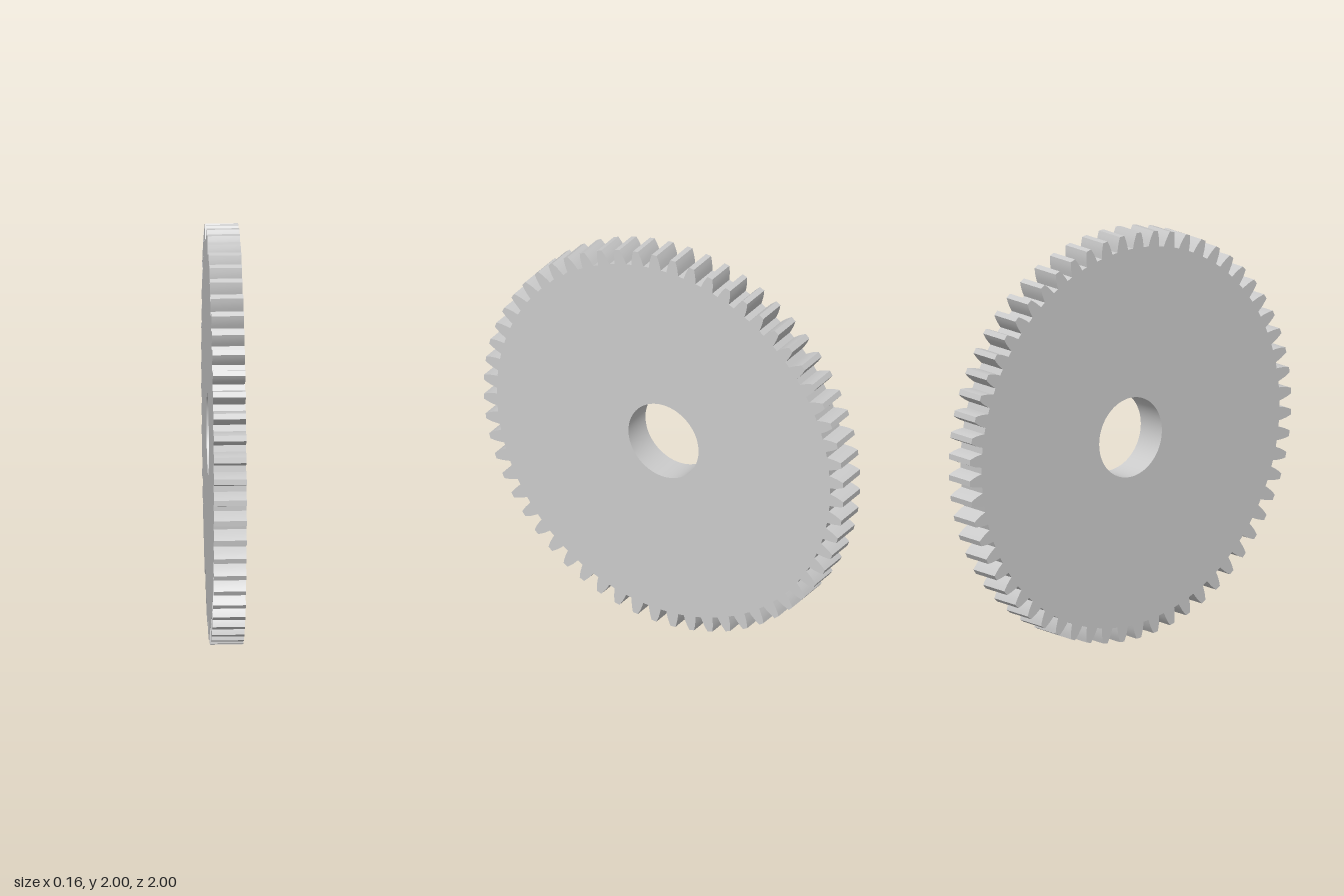
import * as THREE from 'three';
import { toCreasedNormals } from 'three/addons/utils/BufferGeometryUtils.js';

const TEETH = 60;
const THICKNESS = 0.155;
const BORE_RADIUS = 0.195;

// Half of one tooth from root to tip: [radius, half width]
const FLANK = [[0.927, 0.033], [0.948, 0.0295], [0.968, 0.025], [0.985, 0.0195], [1.0005, 0.0135]];

// Closed gear outline with a tooth gap at the top, bottom and both sides
function gearShape() {
  const points = [];
  const add = (radius, angle) =>
    points.push(new THREE.Vector2(radius * Math.cos(angle), radius * Math.sin(angle)));
  for (let i = 0; i < TEETH; i++) {
    const centre = ((i + 0.5) / TEETH) * Math.PI * 2;
    for (const [r, w] of FLANK) add(r, centre - w / r);
    for (const [r, w] of [...FLANK].reverse()) add(r, centre + w / r);
  }
  const shape = new THREE.Shape(points);

  // Shaft bore
  const bore = new THREE.Path();
  bore.absarc(0, 0, BORE_RADIUS, 0, Math.PI * 2, true);
  shape.holes.push(bore);
  return shape;
}

export function createModel() {
  const group = new THREE.Group();
  group.name = 'spurGear';

  // Toothed disc, turned so that its axle runs along x
  const extruded = new THREE.ExtrudeGeometry(gearShape(), {
    depth: THICKNESS,
    bevelEnabled: false,
    curveSegments: 48,
  });
  extruded.translate(0, 0, -THICKNESS / 2);
  extruded.rotateY(Math.PI / 2);
  const geometry = toCreasedNormals(extruded, Math.PI / 9);

  const gear = new THREE.Mesh(geometry, new THREE.MeshStandardMaterial({ color: 0xcccccc }));
  gear.name = 'gearWheel';
  gear.position.y = 1;
  group.add(gear);
  return group;
}
